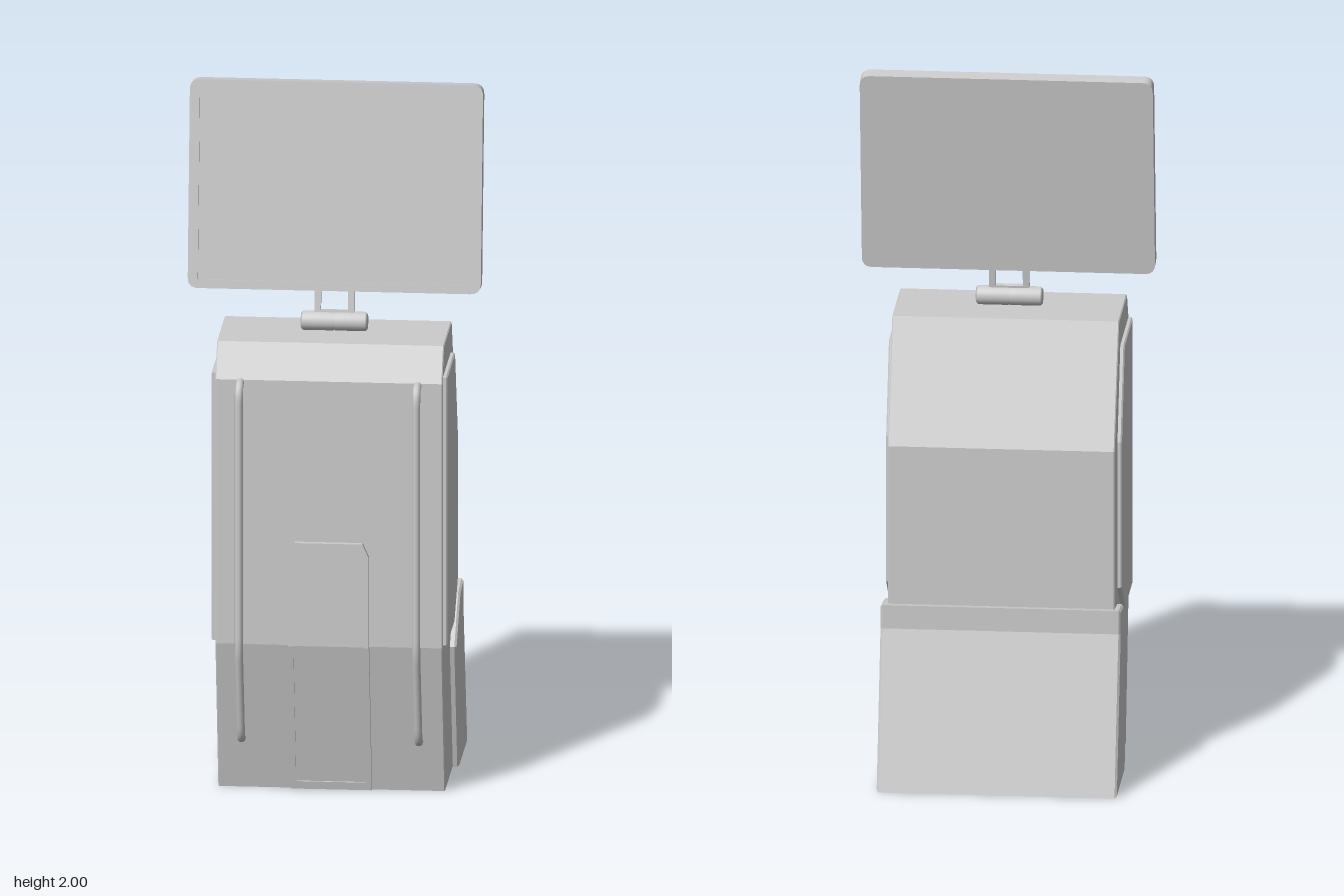
import * as THREE from 'three';

const grey = new THREE.MeshStandardMaterial({ color: 0xcccccc });

function add(parent, name, geometry, x = 0, y = 0, z = 0) {
  const mesh = new THREE.Mesh(geometry, grey);
  mesh.name = name;
  mesh.position.set(x, y, z);
  parent.add(mesh);
  return mesh;
}

const polygon = (points) => new THREE.Shape(points.map(([x, y]) => new THREE.Vector2(x, y)));

// Extrudes a shape, centred on its depth, with a small bevel kept inside the outline
function slab(shape, depth, bevel = 0) {
  const geometry = new THREE.ExtrudeGeometry(shape, {
    depth: depth - 2 * bevel, bevelEnabled: bevel > 0, bevelThickness: bevel,
    bevelSize: bevel, bevelOffset: -bevel, bevelSegments: 1, curveSegments: 6,
  });
  return geometry.translate(0, 0, bevel - depth / 2);
}

// Side profile given as [z, y], extruded across x
const across = (profile, width, bevel) => slab(polygon(profile), width, bevel).rotateY(-Math.PI / 2);

// Rounded rectangle centred on the origin
function roundedRect(w, h, r, target = new THREE.Shape()) {
  const x = w / 2, y = h / 2;
  target.moveTo(-x + r, -y).lineTo(x - r, -y).quadraticCurveTo(x, -y, x, -y + r);
  target.lineTo(x, y - r).quadraticCurveTo(x, y, x - r, y);
  target.lineTo(-x + r, y).quadraticCurveTo(-x, y, -x, y - r);
  target.lineTo(-x, -y + r).quadraticCurveTo(-x, -y, -x + r, -y);
  return target;
}

// Depth of the cabinet front: upright above the bend, sloping in below it
const BEND = 0.44;
const frontZ = (y) => 0.277 - Math.max(0, BEND - y) * 0.22;

// Plate lying on the cabinet front, following its slope
function frontPlate(points, rise) {
  const geometry = slab(polygon(points), rise + 0.02);
  const p = geometry.attributes.position;
  for (let i = 0; i < p.count; i++) {
    p.setZ(i, p.getZ(i) + frontZ(p.getY(i)) + rise / 2 - 0.01);
  }
  geometry.computeVertexNormals();
  return geometry;
}

export function createModel() {
  const model = new THREE.Group();
  model.name = 'kiosk';

  // Cabinet
  add(model, 'cabinet', across([
    [0.18, 0], [0.277, BEND], [0.277, 1.205], [0.22, 1.3], [-0.035, 1.3],
    [-0.183, 0.965], [-0.183, 0.42], [-0.28, 0],
  ], 0.635, 0.003));

  // Rear base wrapping round the cabinet
  add(model, 'rearBase', across([
    [-0.07, 0], [0.03, 0.375], [-0.1, 0.495], [-0.207, 0.508], [-0.207, 0.44], [-0.333, 0],
  ], 0.672, 0.006));

  // Side panels
  for (const side of [-1, 1]) {
    add(model, side > 0 ? 'leftPanel' : 'rightPanel', across([
      [0.262, 0.445], [0.262, 1.22], [0, 1.22], [-0.092, 0.965], [-0.092, 0.54], [0.02, 0.445],
    ], 0.03, 0.004), side * 0.315);
  }

  // Front plate: arched upper frame, lower frame and recessed infill
  const plate = new THREE.Group();
  plate.name = 'frontPlate';
  model.add(plate);
  add(plate, 'upperFrame', frontPlate([
    [0.113, BEND], [0.113, 0.7], [0.095, 0.74], [-0.095, 0.74], [-0.113, 0.7], [-0.113, BEND],
    [-0.098, BEND], [-0.098, 0.585], [-0.085, 0.615], [0.085, 0.615], [0.098, 0.585], [0.098, BEND],
  ], 0.016));
  add(plate, 'lowerFrame', frontPlate([
    [-0.113, BEND], [-0.113, 0.002], [0.113, 0.002], [0.113, BEND],
    [0.098, BEND], [0.098, 0.025], [-0.098, 0.025], [-0.098, BEND],
  ], 0.016));
  add(plate, 'upperInfill', frontPlate([
    [-0.1, BEND], [0.1, BEND], [0.1, 0.59], [0.086, 0.618], [-0.086, 0.618], [-0.1, 0.59],
  ], 0.009));
  add(plate, 'lowerInfill', frontPlate([
    [-0.1, 0.022], [0.1, 0.022], [0.1, BEND], [-0.1, BEND],
  ], 0.009));

  // Long bent handrails
  const rail = new THREE.CurvePath();
  const v = (y, z) => new THREE.Vector3(0, y, z);
  const line = (a, b) => rail.add(new THREE.LineCurve3(a, b));
  const bend = (a, b, c) => rail.add(new THREE.QuadraticBezierCurve3(a, b, c));
  line(v(1.2, 0.262), v(1.197, 0.295));
  bend(v(1.197, 0.295), v(1.195, 0.322), v(1.15, 0.322));
  line(v(1.15, 0.322), v(0.47, 0.322));
  bend(v(0.47, 0.322), v(0.44, 0.322), v(0.41, 0.315));
  line(v(0.41, 0.315), v(0.2, 0.26));
  bend(v(0.2, 0.26), v(0.15, 0.247), v(0.152, 0.22));
  line(v(0.152, 0.22), v(0.155, 0.195));
  const railGeometry = new THREE.TubeGeometry(rail, 120, 0.0115, 10);
  for (const side of [-1, 1]) {
    add(model, side > 0 ? 'leftRail' : 'rightRail', railGeometry, side * 0.248);
  }

  // Hinge barrel with rounded ends
  const barrel = new THREE.LatheGeometry([
    [0, -0.093], [0.021, -0.093], [0.027, -0.087], [0.027, -0.003], [0.025, 0],
    [0.027, 0.003], [0.027, 0.087], [0.021, 0.093], [0, 0.093],
  ].map(([r, y]) => new THREE.Vector2(r, y)), 24).rotateZ(Math.PI / 2);
  add(model, 'hingeBarrel', barrel, 0, 1.329, 0.09);

  // Hinge bracket
  const tilt = -0.135;
  const bracket = new THREE.Group();
  bracket.name = 'hingeBracket';
  bracket.position.set(0, 1.329, 0.092);
  bracket.rotation.x = tilt;
  model.add(bracket);
  for (const side of [-1, 1]) {
    add(bracket, 'prong', new THREE.BoxGeometry(0.018, 0.09, 0.016), side * 0.047, 0.055, 0);
  }
  add(bracket, 'crossbar', new THREE.BoxGeometry(0.094, 0.016, 0.016), 0, 0.024, 0);

  // Tilted screen: frame with a slightly sunken display
  const screen = new THREE.Group();
  screen.name = 'screen';
  screen.position.set(0, 1.706, 0.039);
  screen.rotation.x = tilt;
  model.add(screen);
  add(screen, 'screenBack', slab(roundedRect(0.82, 0.588, 0.03), 0.036), 0, 0, -0.004);
  const bezel = roundedRect(0.82, 0.588, 0.03);
  bezel.holes.push(roundedRect(0.764, 0.54, 0.004, new THREE.Path()));
  add(screen, 'screenBezel', slab(bezel, 0.008), 0, 0, 0.018);

  return model;
}
